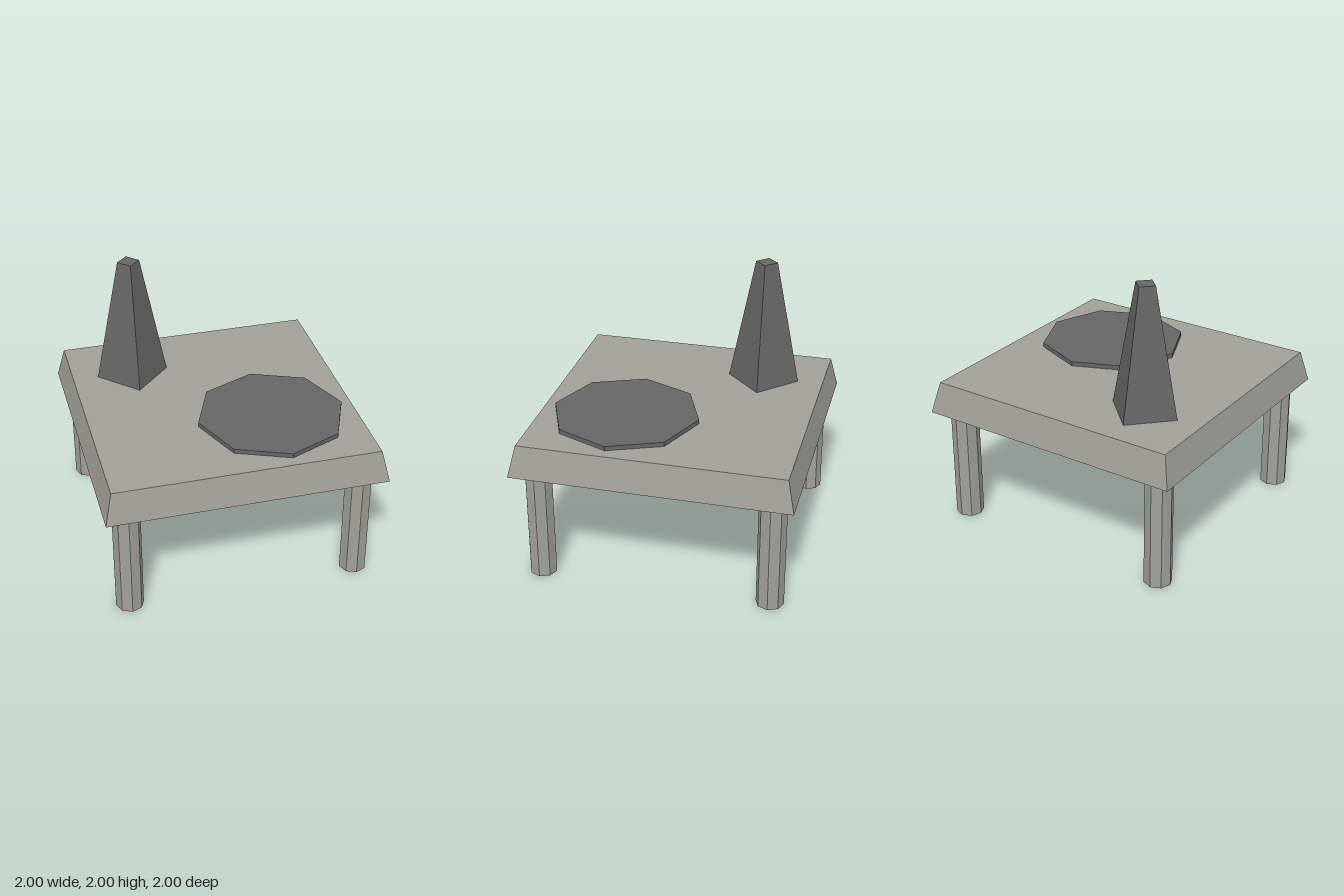
import * as THREE from 'three';

const paleGrey = new THREE.MeshStandardMaterial({ color: 0xa0a098, flatShading: true });
paleGrey.name = 'paleGrey';
const darkGrey = new THREE.MeshStandardMaterial({ color: 0x666666, flatShading: true });
darkGrey.name = 'darkGrey';

// Faceted, optionally tapered column standing between heights y0 and y1
function column(name, material, sides, rTop, rBottom, y0, y1, x = 0, z = 0, turn = 0) {
  const geometry = new THREE.CylinderGeometry(rTop, rBottom, y1 - y0, sides, 1, false, turn);
  const mesh = new THREE.Mesh(geometry, material);
  mesh.name = name;
  mesh.position.set(x, (y0 + y1) / 2, z);
  return mesh;
}

export function createModel() {
  const model = new THREE.Group();
  model.name = 'platform';
  const legTop = 0.84, deckTop = 1.07;

  // Four octagonal legs
  for (const x of [-1, 1]) {
    for (const z of [-1, 1]) {
      const name = (z > 0 ? 'front' : 'back') + (x > 0 ? 'Left' : 'Right') + 'Leg';
      model.add(column(name, paleGrey, 8, 0.1, 0.1, 0, legTop, x * 0.833, z * 0.833));
    }
  }

  // Square deck with sloping sides
  model.add(column('deck', paleGrey, 4, 0.948 * Math.SQRT2, Math.SQRT2, legTop, deckTop, 0, 0, Math.PI / 4));

  // Tapered tower, set cornerwise, and low octagonal pad
  model.add(column('tower', darkGrey, 4, 0.08, 0.263, deckTop, 2, -0.5, -0.5));
  model.add(column('pad', darkGrey, 8, 0.533, 0.533, deckTop, 1.103, 0.333, 0.333));

  return model;
}
